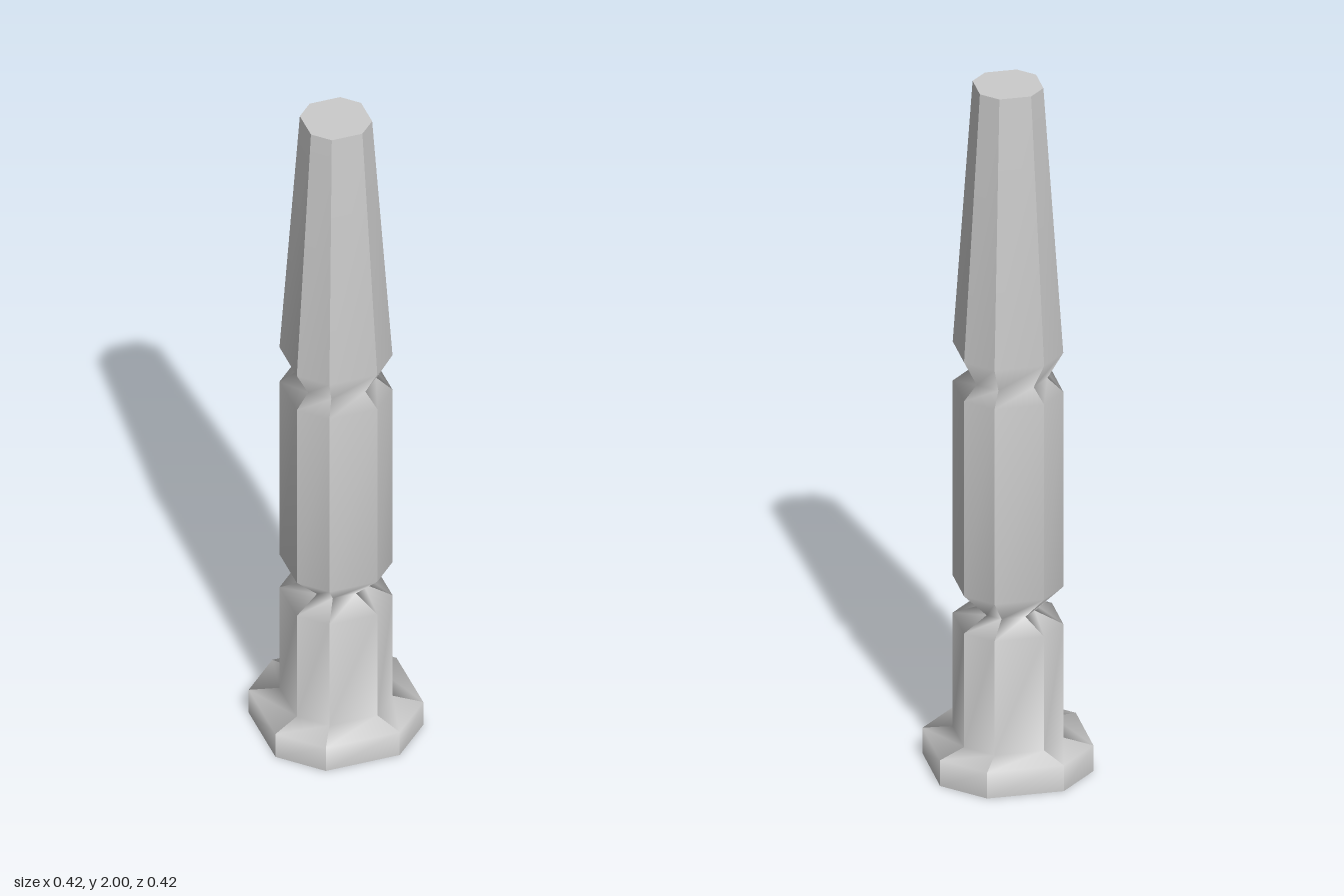
import * as THREE from 'three';

// Half-profile from the foot to the top: [distance to the flat side, height]
const PROFILE = [
  [0.21, 0], [0.21, 0.076], [0.136, 0.09],
  [0.136, 0.425], [0.066, 0.456], [0.136, 0.535],
  [0.136, 1.11], [0.097, 1.146], [0.136, 1.225],
  [0.087, 2],
];

// Chamfered square section, counter-clockwise seen from above
const CORNERS = [
  [-0.5, 1], [0.5, 1], [1, 0.5], [1, -0.5],
  [0.5, -1], [-0.5, -1], [-1, -0.5], [-1, 0.5],
];

// One vertical side: smooth along its height, sharp against its neighbours
function sideGeometry(a, b) {
  const positions = [], index = [];
  PROFILE.forEach(([r, y], i) => {
    positions.push(a[0] * r, y, a[1] * r, b[0] * r, y, b[1] * r);
    if (i > 0) {
      const k = 2 * (i - 1);
      index.push(k, k + 1, k + 3, k, k + 3, k + 2);
    }
  });
  const geometry = new THREE.BufferGeometry();
  geometry.setAttribute('position', new THREE.Float32BufferAttribute(positions, 3));
  geometry.setIndex(index);
  geometry.computeVertexNormals();
  return geometry;
}

export function createModel() {
  const group = new THREE.Group();
  group.name = 'post';
  const material = new THREE.MeshStandardMaterial({ color: 0xcccccc, side: THREE.DoubleSide });

  // Hollow shaft with a wide foot and two grooves, open underneath
  const shaft = new THREE.Group();
  shaft.name = 'shaft';
  CORNERS.forEach((corner, i) => {
    const side = new THREE.Mesh(sideGeometry(corner, CORNERS[(i + 1) % 8]), material);
    side.name = `shaftSide${i + 1}`;
    shaft.add(side);
  });
  group.add(shaft);

  // Flat top
  const [topRadius, topHeight] = PROFILE[PROFILE.length - 1];
  const outline = new THREE.Shape(CORNERS.map(([x, z]) => new THREE.Vector2(x * topRadius, z * topRadius)));
  const cap = new THREE.Mesh(new THREE.ShapeGeometry(outline).rotateX(-Math.PI / 2), material);
  cap.name = 'topCap';
  cap.position.y = topHeight;
  group.add(cap);

  return group;
}
